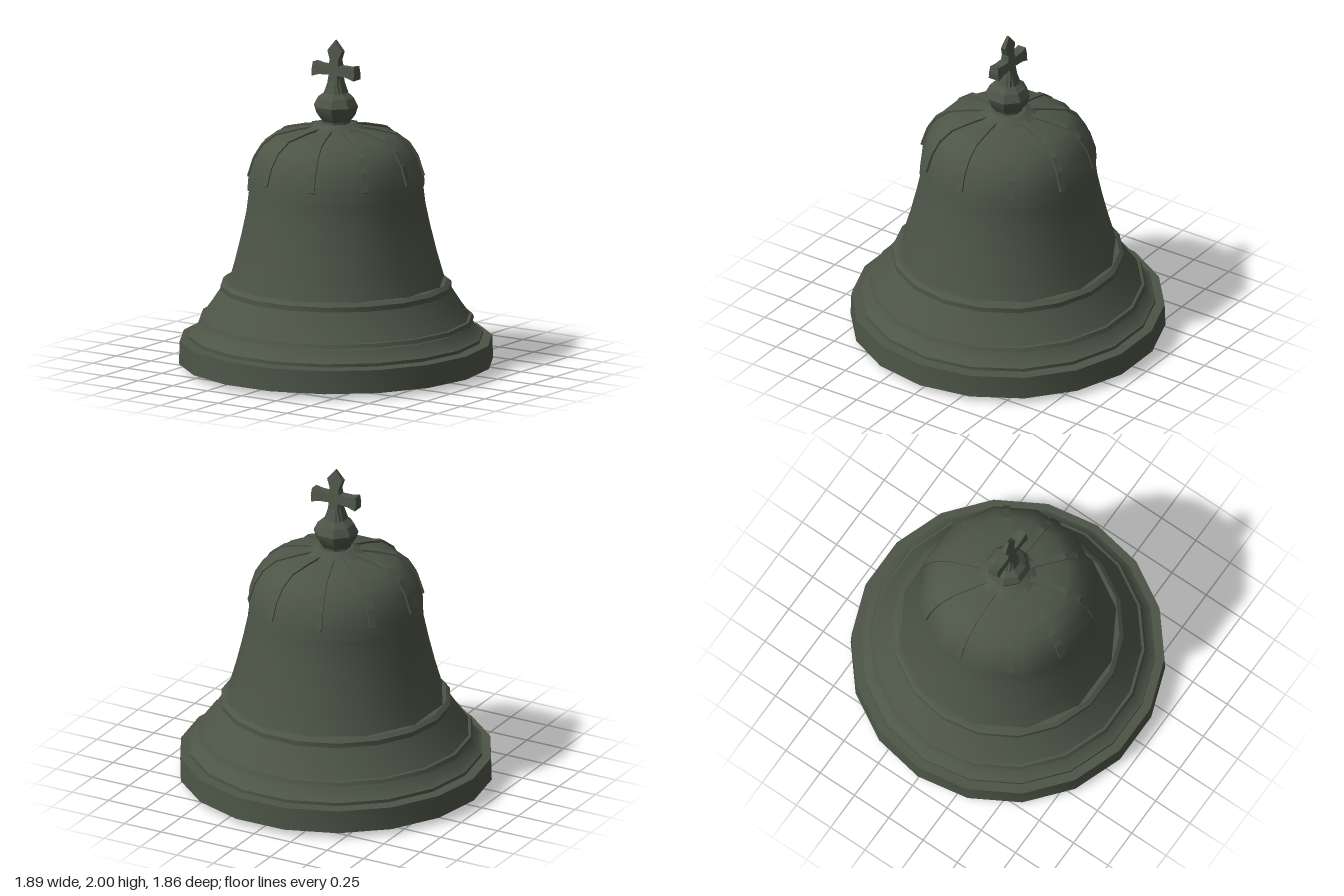
import * as THREE from 'three';
import { toCreasedNormals } from 'three/addons/utils/BufferGeometryUtils.js';

const bronze = new THREE.MeshStandardMaterial({ color: 0x4d5547 });
bronze.name = 'darkGreenBronze';

export function createModel() {
  const bell = new THREE.Group();
  bell.name = 'bell';

  const add = (name, geometry, parent = bell) => {
    const mesh = new THREE.Mesh(geometry, bronze);
    mesh.name = name;
    parent.add(mesh);
    return mesh;
  };
  // Faceted turned part with one flat side facing the front
  const turned = (name, points, sides, crease = 0.6) => add(name, toCreasedNormals(
    new THREE.LatheGeometry(points.map(([r, y]) => new THREE.Vector2(r, y)), sides, Math.PI / sides), crease));

  // Inside wall, running from the crown down to the mouth
  turned('innerWall', [[0, 1.41], [0.3, 1.36], [0.43, 1.22], [0.48, 1.05], [0.53, 0.75],
    [0.6, 0.5], [0.72, 0.28], [0.78, 0.17], [0.78, 0.035]], 18);

  // Heavy rim and the stepped, flared skirt above it
  turned('rim', [[0.78, 0.035], [0.945, 0.035], [0.94, 0.175], [0.84, 0.18]], 18);
  turned('lowerBand', [[0.84, 0.18], [0.885, 0.185], [0.885, 0.205], [0.855, 0.22], [0.815, 0.275], [0.79, 0.28]], 18);
  turned('middleBand', [[0.79, 0.28], [0.83, 0.285], [0.82, 0.31], [0.79, 0.315]], 18);
  turned('skirt', [[0.805, 0.31], [0.755, 0.38], [0.69, 0.48]], 18);
  turned('upperBand', [[0.66, 0.478], [0.695, 0.48], [0.695, 0.51], [0.67, 0.53], [0.6, 0.535]], 18);

  // Waist of the bell
  turned('waist', [[0.66, 0.525], [0.615, 0.68], [0.575, 0.84], [0.545, 0.98], [0.53, 1.1]], 12);

  // Ribbed dome
  const dome = [[0.54, 1.1], [0.535, 1.17], [0.5, 1.28], [0.45, 1.36], [0.37, 1.42], [0.24, 1.45], [0.14, 1.465]];
  turned('dome', [[0.5, 1.095], ...dome], 12);

  const ribs = new THREE.Group();
  ribs.name = 'domeRibs';
  bell.add(ribs);
  const step = Math.PI / 6;
  for (let i = 0; i < 10; i++) {
    const angle = i * Math.PI / 5;
    // Distance to the polygonal dome wall in this direction
    const offset = angle - Math.round(angle / step) * step;
    const k = Math.cos(step / 2) / Math.cos(offset);
    const path = dome.slice(1);
    const outer = path.map(([r, y], j) => new THREE.Vector2(r * k + 0.012 * (1 - j / 6), y + 0.003 + 0.002 * j));
    const inner = path.map(([r, y]) => new THREE.Vector2(r * k - 0.03, y - 0.02)).reverse();
    const geo = new THREE.ExtrudeGeometry(new THREE.Shape([...outer, ...inner]), { depth: 0.04, bevelEnabled: false });
    geo.translate(0, 0, -0.02).rotateY(angle);
    add('domeRib', geo, ribs);
  }

  // Crown disc, then the knob and tapering neck under the cross
  turned('crownDisc', [[0.19, 1.445], [0.17, 1.465], [0.11, 1.495], [0, 1.5]], 10, 0.4);
  turned('knob', [[0.09, 1.48], [0.09, 1.51], [0.12, 1.55], [0.135, 1.6], [0.11, 1.65],
    [0.07, 1.68], [0.045, 1.75], [0.025, 1.8]], 8, 0.4);

  // Flared cross, thinner towards its tip
  const half = [[0.055, 1.68], [0.035, 1.74], [0.03, 1.79], [0.1, 1.785], [0.15, 1.77],
    [0.155, 1.81], [0.15, 1.855], [0.1, 1.845], [0.035, 1.845], [0.03, 1.88], [0.052, 1.935]];
  const outline = [...half, [0, 2], ...half.map(([x, y]) => [-x, y]).reverse()];
  const cross = new THREE.ExtrudeGeometry(new THREE.Shape(outline.map(([x, y]) => new THREE.Vector2(x, y))),
    { depth: 2, bevelEnabled: false });
  cross.translate(0, 0, -1);
  const p = cross.attributes.position;
  for (let i = 0; i < p.count; i++) {
    p.setZ(i, p.getZ(i) * THREE.MathUtils.mapLinear(p.getY(i), 1.68, 2, 0.05, 0.008));
  }
  cross.computeVertexNormals();
  add('cross', cross);

  // Clapper hanging inside
  const clapper = new THREE.Group();
  clapper.name = 'clapper';
  bell.add(clapper);
  add('clapperRod', new THREE.CylinderGeometry(0.03, 0.03, 1.14, 8), clapper).position.y = 0.85;
  const ball = new THREE.LatheGeometry([[0, 0], [0.07, 0.04], [0.13, 0.12], [0.14, 0.19], [0.1, 0.27], [0.03, 0.33]]
    .map(([r, y]) => new THREE.Vector2(r, y)), 8);
  add('clapperBall', toCreasedNormals(ball, 0.4), clapper);

  return bell;
}
